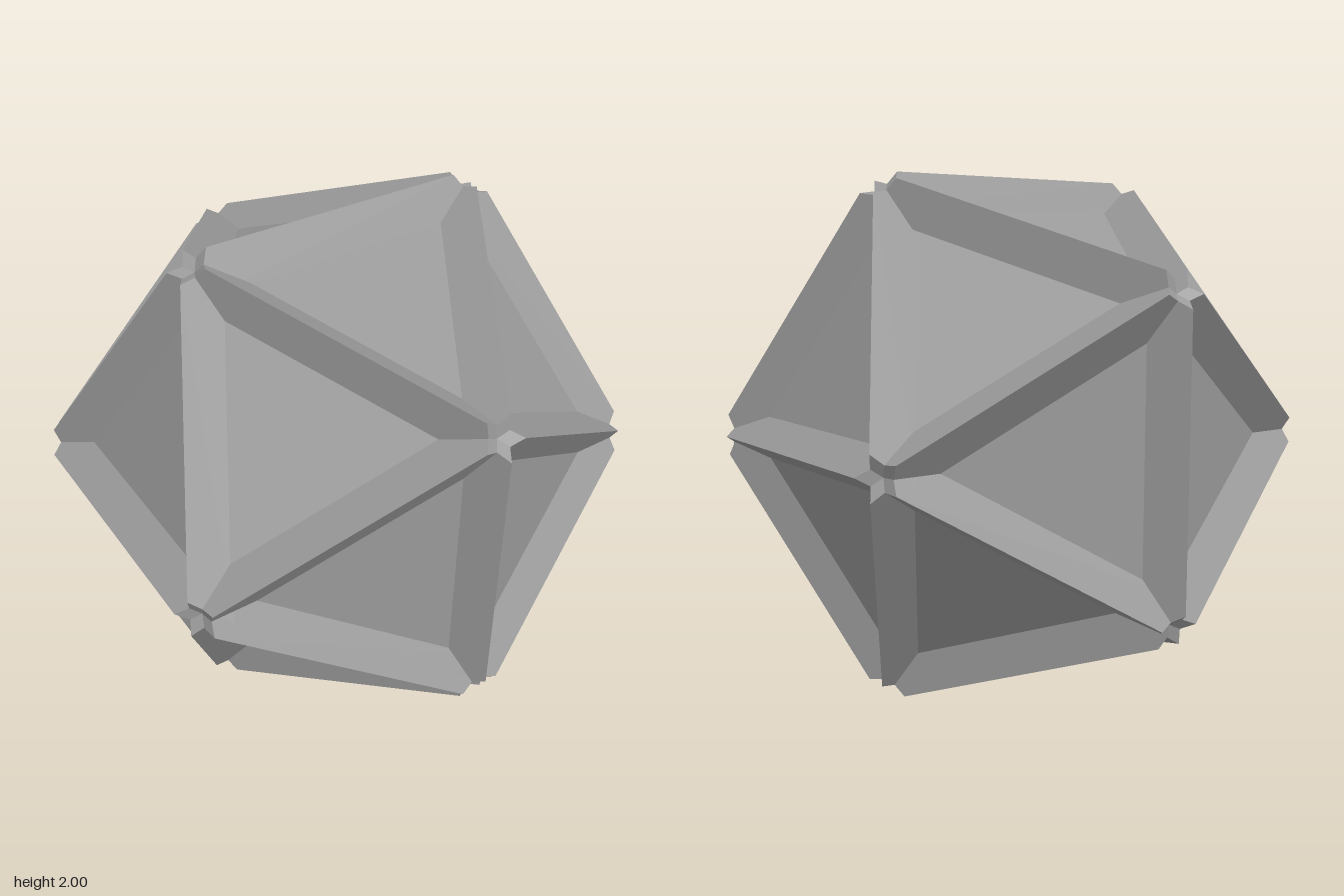
import * as THREE from 'three';

export function createModel() {
  const group = new THREE.Group();
  group.name = 'ridgedIcosahedron';
  const material = new THREE.MeshStandardMaterial({ color: 0x999999, flatShading: true });
  const phi = (1 + Math.sqrt(5)) / 2;

  // Solid core with twenty flat faces
  const core = new THREE.Mesh(new THREE.IcosahedronGeometry(1.058, 0), material);
  core.name = 'core';
  core.position.y = 1;
  group.add(core);

  // Wedge-shaped ridge: apex 1 unit from the centre, base sunk into the core
  const apex = 1, base = 0.86, half = (apex - base) / phi, length = 1.04;
  const profile = new THREE.Shape([
    new THREE.Vector2(-half, base),
    new THREE.Vector2(half, base),
    new THREE.Vector2(0, apex),
  ]);
  const ridgeGeometry = new THREE.ExtrudeGeometry(profile, { depth: length, bevelEnabled: false });
  ridgeGeometry.translate(0, 0, -length / 2);

  // Hipped ends: the ridge grows longer towards its base
  const position = ridgeGeometry.attributes.position;
  for (let i = 0; i < position.count; i++) {
    const z = position.getZ(i);
    position.setZ(i, z + Math.sign(z) * (apex - position.getY(i)) / phi);
  }
  ridgeGeometry.computeVertexNormals();

  // Corner directions of the icosahedron
  const corners = [];
  for (const s of [-1, 1]) {
    for (const t of [-phi, phi]) {
      corners.push(new THREE.Vector3(s, t, 0), new THREE.Vector3(0, s, t), new THREE.Vector3(t, 0, s));
    }
  }

  // One ridge along each of the thirty edges
  const ridges = new THREE.Group();
  ridges.name = 'edgeRidges';
  ridges.position.y = 1;
  corners.forEach((a, i) => {
    corners.slice(i + 1).forEach((b) => {
      if (a.distanceTo(b) > 2.1) return;
      const along = b.clone().sub(a).normalize();
      const out = a.clone().add(b).normalize();
      const side = out.clone().cross(along);
      const ridge = new THREE.Mesh(ridgeGeometry, material);
      ridge.name = 'edgeRidge';
      ridge.quaternion.setFromRotationMatrix(new THREE.Matrix4().makeBasis(side, out, along));
      ridges.add(ridge);
    });
  });
  group.add(ridges);

  return group;
}
